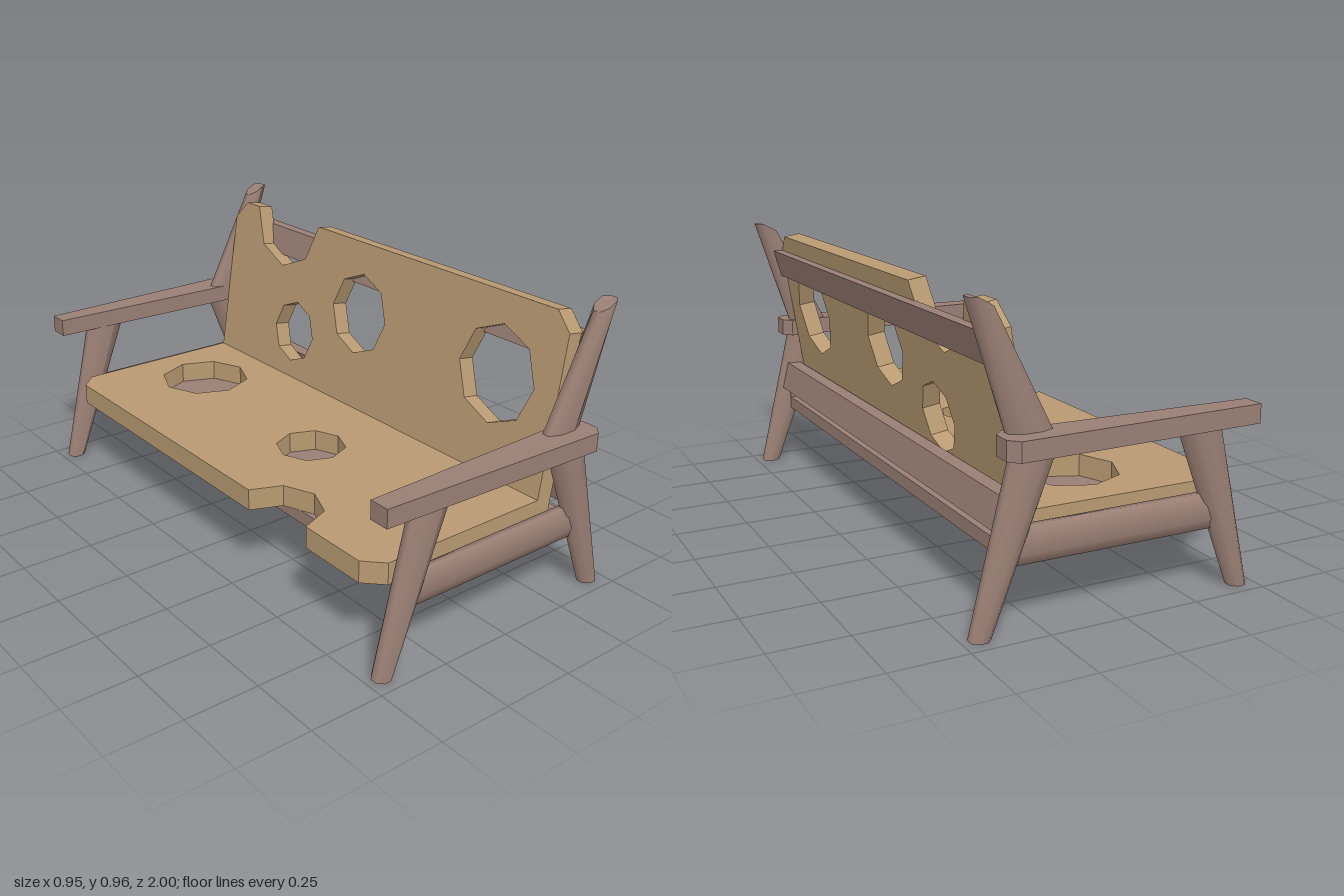
import * as THREE from 'three';

const tan = new THREE.MeshStandardMaterial({ color: 0xb89a72 });
tan.name = 'light wood';
const brown = new THREE.MeshStandardMaterial({ color: 0x9a7f74 });
brown.name = 'brown wood';

const points = (list) => list.map(([x, y]) => new THREE.Vector2(x, y));

// Eight-sided hole outline
function octagon(cx, cy, r) {
  const pts = [];
  for (let i = 0; i < 8; i++) {
    const a = (i * Math.PI) / 4;
    pts.push([cx + r * Math.cos(a), cy + r * Math.sin(a)]);
  }
  return new THREE.Path(points(pts));
}

function extrude(outline, depth, holes = []) {
  const shape = new THREE.Shape(points(outline));
  shape.holes.push(...holes);
  return new THREE.ExtrudeGeometry(shape, { depth, bevelEnabled: false });
}

// Plan outline [x, z] raised from y0 to y1
function slab(outline, y0, y1, holes) {
  return extrude(outline.map(([x, z]) => [x, -z]), y1 - y0, holes)
    .rotateX(-Math.PI / 2)
    .translate(0, y0, 0);
}

// Tapering eight-sided leg; each end is [y, xMin, xMax]
function taperedLeg(low, high, z, width, topRule = (x, y) => y) {
  const geo = new THREE.CylinderGeometry(1, 1, 1, 8, 1, false, Math.PI / 8);
  const k = Math.cos(Math.PI / 8);
  const p = geo.attributes.position;
  for (let i = 0; i < p.count; i++) {
    const top = p.getY(i) > 0;
    const [y, x0, x1] = top ? high : low;
    const x = (x0 + x1) / 2 + (p.getX(i) / k) * (x1 - x0) / 2;
    p.setXYZ(i, x, top ? topRule(x, y) : y, z + (p.getZ(i) / k) * width / 2);
  }
  geo.computeVertexNormals();
  return geo;
}

export function createModel() {
  const group = new THREE.Group();
  const add = (name, geo, mat) => {
    const mesh = new THREE.Mesh(geo, mat);
    mesh.name = name;
    group.add(mesh);
  };

  // Seat with clipped front corners, a scooped front edge and two holes
  const scoop = [];
  for (let i = 0; i <= 4; i++) {
    const a = (i * Math.PI) / 4;
    scoop.push([-0.44 + 0.15 * Math.sin(a), 0.42 - 0.15 * Math.cos(a)]);
  }
  add('seat', slab(
    [[0.26, -0.88], [-0.38, -0.88], [-0.44, -0.82], ...scoop, [-0.44, 0.82], [-0.38, 0.88], [0.26, 0.88]],
    0.26, 0.333,
    [octagon(-0.03, 0.61, 0.165), octagon(-0.08, -0.13, 0.12)]), tan);

  // Backrest outline as [-z, y], then leaned backwards
  const notch = [];
  for (let i = 0; i <= 4; i++) {
    const a = (i * Math.PI) / 4;
    notch.push([0.545 - 0.19 * Math.cos(a), 0.93 - 0.19 * Math.sin(a)]);
  }
  const back = extrude(
    [[-0.88, 0.27], [-0.88, 0.87], [-0.82, 0.93], ...notch, [0.815, 0.93], [0.88, 0.865], [0.88, 0.27]],
    0.06,
    [octagon(-0.62, 0.665, 0.165), octagon(0.07, 0.675, 0.145), octagon(0.425, 0.51, 0.115)]);
  back.rotateY(Math.PI / 2);
  const p = back.attributes.position;
  for (let i = 0; i < p.count; i++) {
    const d = p.getX(i), y = p.getY(i);
    p.setXY(i, 0.237 + d + (y - 0.333) * 0.156, y - d * 0.156);
  }
  back.computeVertexNormals();
  add('backrest', back, tan);

  // Base panel under the seat
  add('basePanel', slab([[-0.31, -0.905], [-0.31, 0.905], [0.36, 0.905], [0.36, -0.905]], 0.215, 0.26), brown);

  // Long rails behind the backrest, each leaning with the posts or legs
  const rail = (section, half) => extrude(section, half * 2).translate(0, 0, -half);
  add('upperBackRail', rail([[0.35, 0.76], [0.385, 0.76], [0.415, 0.86], [0.375, 0.86]], 0.89), brown);
  add('lowerBackRail', rail([[0.34, 0.3], [0.388, 0.3], [0.364, 0.4], [0.315, 0.4]], 0.91), brown);

  // Frame at each end
  for (const s of [1, -1]) {
    const side = s > 0 ? 'front' : 'rear';
    add(side + 'EndForeLeg', taperedLeg([0, -0.475, -0.415], [0.525, -0.351, -0.21], s * 0.935, 0.06), brown);
    add(side + 'EndHindLeg', taperedLeg([0, 0.412, 0.475], [0.525, 0.21, 0.349], s * 0.935, 0.06), brown);
    add(side + 'EndPost', taperedLeg([0.57, 0.207, 0.347], [0.965, 0.395, 0.475], s * 0.912, 0.06,
      (x, y) => Math.min(y, 0.935 + (x - 0.395) * 0.55)), brown);
    add(side + 'EndArmrest', slab(
      [[-0.475, 0.905], [-0.475, 0.975], [0.35, 1], [0.38, 0.97], [0.38, 0.91], [0.35, 0.88]]
        .map(([x, z]) => [x, s * z]), 0.517, 0.578), brown);

    // Rounded rail joining the two legs
    const k = Math.cos(Math.PI / 8);
    add(side + 'EndSideRail', new THREE.CylinderGeometry(1 / k, 1 / k, 0.72, 8, 1, false, Math.PI / 8)
      .rotateZ(Math.PI / 2)
      .scale(1, 0.057, 0.025)
      .translate(0, 0.254, s * 0.925), brown);
  }
  return group;
}
